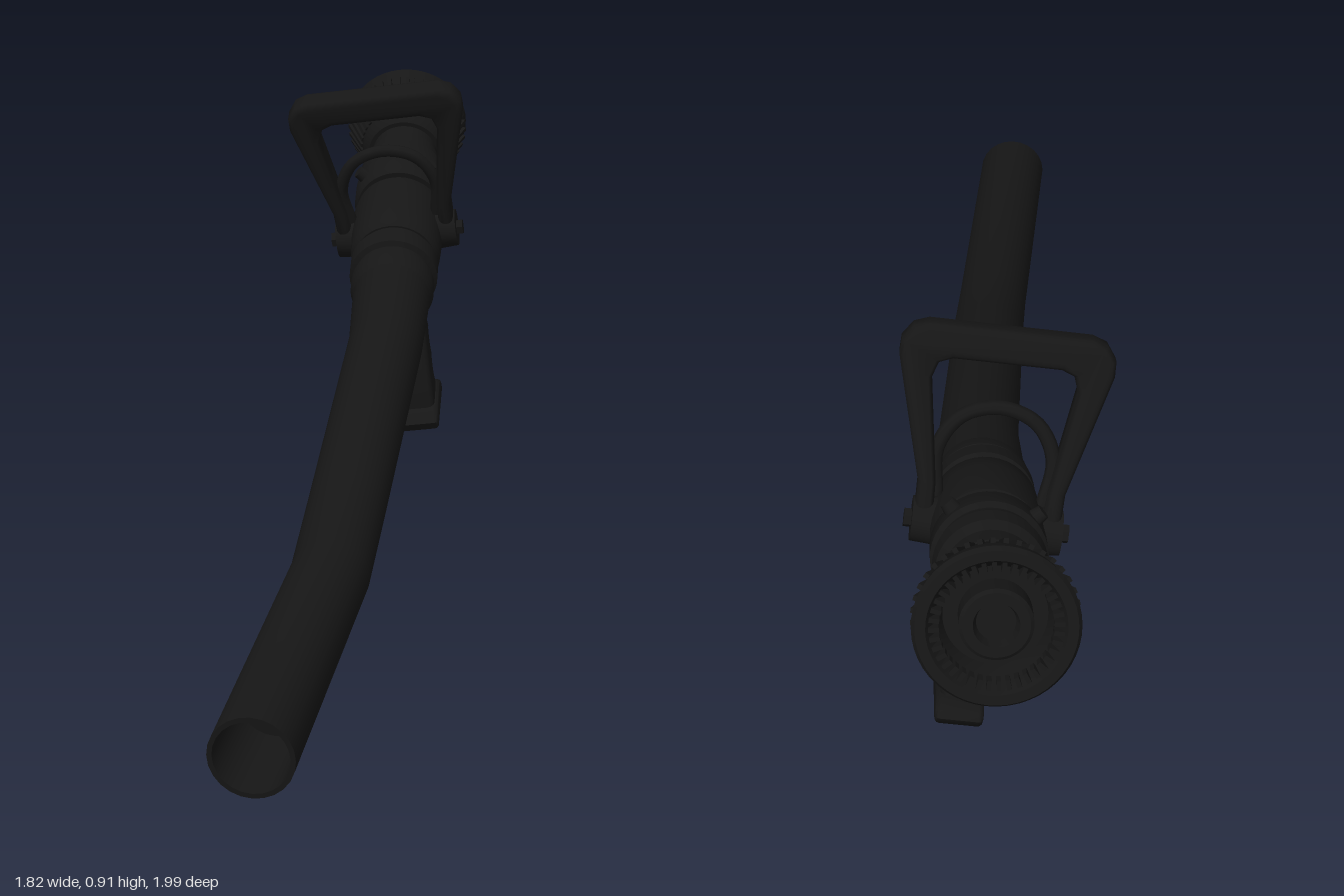
import * as THREE from 'three';
import { toCreasedNormals } from 'three/addons/utils/BufferGeometryUtils.js';

const V = (x, y, z) => new THREE.Vector3(x, y, z);
const black = new THREE.MeshStandardMaterial({ color: 0x161616 });

function part(name, geometry, parent, crease = 0.6) {
  const mesh = new THREE.Mesh(toCreasedNormals(geometry, crease), black);
  mesh.name = name;
  parent.add(mesh);
  return mesh;
}

// Skin round rings, each { p: centre, t: direction, r: radius }
function loft(rings, sides) {
  const pos = [], index = [];
  rings.forEach(({ p, t, r }, i) => {
    const side = V(0, 1, 0).cross(t).normalize();
    const up = t.clone().cross(side).normalize();
    for (let j = 0; j < sides; j++) {
      const a = (j / sides) * Math.PI * 2;
      const q = p.clone().addScaledVector(side, r * Math.cos(a)).addScaledVector(up, r * Math.sin(a));
      pos.push(q.x, q.y, q.z);
      if (i === 0) continue;
      const k = (j + 1) % sides, b = i * sides, c = b - sides;
      index.push(c + j, c + k, b + k, c + j, b + k, b + j);
    }
  });
  const g = new THREE.BufferGeometry();
  g.setAttribute('position', new THREE.Float32BufferAttribute(pos, 3));
  g.setIndex(index);
  return g;
}

// Turned part whose axis runs along local x; points are [x, radius]
function turned(points, sides = 40) {
  const g = new THREE.LatheGeometry(points.map(([x, r]) => new THREE.Vector2(r, x)), sides);
  return g.rotateZ(-Math.PI / 2);
}

const shapeOf = (pts) => new THREE.Shape(pts.map(([x, y]) => new THREE.Vector2(x, y)));

function slab(shape, depth, bevel) {
  const g = new THREE.ExtrudeGeometry(shape, {
    depth: depth - 2 * bevel, bevelEnabled: true, bevelSize: bevel, bevelThickness: bevel,
    bevelOffset: -bevel, bevelSegments: 3, curveSegments: 10,
  });
  return g.translate(0, 0, -depth / 2 + bevel);
}

export function createModel() {
  const model = new THREE.Group();
  const start = V(0.345, 0.45, -0.335), tip = V(0.795, 0.717, -0.9);
  const axis = tip.clone().sub(start);
  const L = axis.length();
  axis.normalize();

  // Hose: bent tube with an open, hollow end
  const path = [V(-0.855, 0.078, 0.945), V(-0.355, 0.15, 0.445), V(-0.2, 0.222, 0.28),
    V(0.2, 0.39, -0.155), start];
  const radii = [0.077, 0.077, 0.078, 0.081, 0.088];
  const rings = path.map((p, i) => {
    const a = path[Math.max(i - 1, 0)], b = path[Math.min(i + 1, path.length - 1)];
    const t = p.clone().sub(a).normalize().add(b.clone().sub(p).normalize()).normalize();
    return { p, t, r: radii[i] };
  });
  const { p: p0, t: t0 } = rings[0];
  const deep = p0.clone().addScaledVector(t0, 0.2);
  rings.unshift({ p: deep, t: t0, r: 0 }, { p: deep, t: t0, r: 0.068 }, { p: p0, t: t0, r: 0.068 });
  part('hose', loft(rings, 24), model, 0.7);

  // Nozzle frame: x forward along the axis, y up with a slight roll, z sideways
  const nozzle = new THREE.Group();
  nozzle.name = 'nozzle';
  const side = axis.clone().cross(V(0, 1, 0)).normalize();
  const up = side.clone().cross(axis).addScaledVector(side, -0.14).normalize();
  side.crossVectors(axis, up);
  nozzle.quaternion.setFromRotationMatrix(new THREE.Matrix4().makeBasis(axis, up, side));
  nozzle.position.copy(start);
  model.add(nozzle);

  // Coupling, valve body and stepped barrel
  part('coupling', turned([[-0.03, 0], [-0.03, 0.086], [0, 0.094], [0.035, 0.094], [0.04, 0.088],
    [0.055, 0.088], [0.06, 0.1], [0.11, 0.1], [0.12, 0.09], [0.14, 0.09], [0.14, 0]]), nozzle);
  part('valveBody', turned([[0.13, 0], [0.13, 0.094], [0.145, 0.102], [0.2, 0.105], [0.3, 0.105],
    [0.33, 0.1], [0.335, 0.088], [0.36, 0.088], [0.36, 0]]), nozzle);
  part('barrel', turned([[0.35, 0], [0.35, 0.1], [0.365, 0.107], [0.42, 0.107], [0.43, 0.098],
    [0.45, 0.098], [0.46, 0.104], [0.5, 0.1], [0.515, 0.086], [0.56, 0.084], [0.565, 0.078],
    [0.62, 0.078], [0.62, 0]]), nozzle);

  // Flared bumper with a recessed face and a central baffle
  part('bumper', turned([[0.6, 0], [0.6, 0.088], [0.615, 0.1], [0.65, 0.108], [0.7, 0.128],
    [0.73, 0.138], [L - 0.01, 0.144], [L, 0.138], [L, 0.12], [L - 0.04, 0.098],
    [L - 0.07, 0.09], [L - 0.07, 0.064], [L - 0.02, 0.064], [L - 0.015, 0.058],
    [L - 0.015, 0.04], [L - 0.035, 0.034], [L - 0.035, 0]], 48), nozzle);
  const teeth = 40;
  for (let i = 0; i < teeth; i++) {
    const a = (i / teeth) * Math.PI * 2;
    const rib = new THREE.BoxGeometry(0.1, 0.012, 0.009);
    rib.rotateZ(0.38).translate(0.68, 0.121, 0).rotateX(a);
    part('bumperRib', rib, nozzle);
    const tooth = new THREE.BoxGeometry(0.025, 0.018, 0.008);
    tooth.translate(L - 0.018, 0.106, 0).rotateX(a);
    part('faceTooth', tooth, nozzle);
  }

  // Lugs round the barrel
  for (let i = 0; i < 4; i++) {
    const lug = new THREE.CylinderGeometry(0.014, 0.018, 0.025, 12);
    lug.translate(0.393, 0.112, 0).rotateX((i + 0.5) * Math.PI / 2);
    part('barrelLug', lug, nozzle);
  }

  // Bail handle straddling the valve body
  const half = [[0.135, -0.03], [0.137, 0.08], [0.198, 0.315], [0.197, 0.345], [0.178, 0.372], [0.15, 0.382]];
  const inner = [[0.1, 0.318], [0.125, 0.308], [0.134, 0.28], [0.104, 0.08], [0.1, -0.03]];
  const mirror = (pts) => pts.map(([x, y]) => [-x, y]).reverse();
  const bail = shapeOf([...half, ...mirror(half), ...mirror(inner), ...inner]);
  part('bailHandle', slab(bail, 0.062, 0.014).rotateY(-Math.PI / 2).translate(0.245, 0, 0), nozzle, 0.9);
  for (const s of [-1, 1]) {
    part('bailPivot', new THREE.CylinderGeometry(0.042, 0.046, 0.05, 24)
      .rotateX(s * Math.PI / 2).translate(0.245, 0, s * 0.115), nozzle);
    part('pivotBolt', new THREE.CylinderGeometry(0.018, 0.018, 0.02, 6)
      .rotateX(Math.PI / 2).translate(0.245, 0, s * 0.144), nozzle);
  }

  // Thin guard hoop inside the bail
  const hoop = new THREE.CatmullRomCurve3([V(0.24, 0.05, -0.1), V(0.24, 0.14, -0.108), V(0.24, 0.205, -0.07),
    V(0.24, 0.228, 0), V(0.24, 0.205, 0.07), V(0.24, 0.14, 0.108), V(0.24, 0.05, 0.1)]);
  part('guardHoop', new THREE.TubeGeometry(hoop, 32, 0.014, 8), nozzle, 1);

  // Pistol grip with finger notches on its front edge
  const grip = new THREE.Shape();
  grip.moveTo(0.12, -0.06);
  grip.lineTo(0.135, -0.12);
  grip.bezierCurveTo(0.15, -0.2, 0.08, -0.26, 0.055, -0.4);
  grip.lineTo(0.165, -0.4);
  const front = [[0.175, -0.36], [0.197, -0.3], [0.222, -0.24], [0.246, -0.18], [0.262, -0.12]];
  front.forEach(([x, y], i) => {
    if (i === 0) return grip.lineTo(x, y);
    const [a, b] = front[i - 1];
    grip.quadraticCurveTo((a + x) / 2 - 0.03, (b + y) / 2, x, y);
  });
  grip.lineTo(0.27, -0.06);
  part('pistolGrip', slab(grip, 0.078, 0.018), nozzle, 0.9);

  // Flared foot of the grip and its mount
  const foot = shapeOf([[0.025, -0.395], [0.03, -0.415], [0.19, -0.425], [0.205, -0.41], [0.2, -0.395], [0.165, -0.375], [0.055, -0.375]]);
  part('gripFoot', slab(foot, 0.094, 0.01), nozzle, 0.9);
  part('gripMount', new THREE.BoxGeometry(0.18, 0.06, 0.09).translate(0.2, -0.095, 0), nozzle);

  return model;
}
